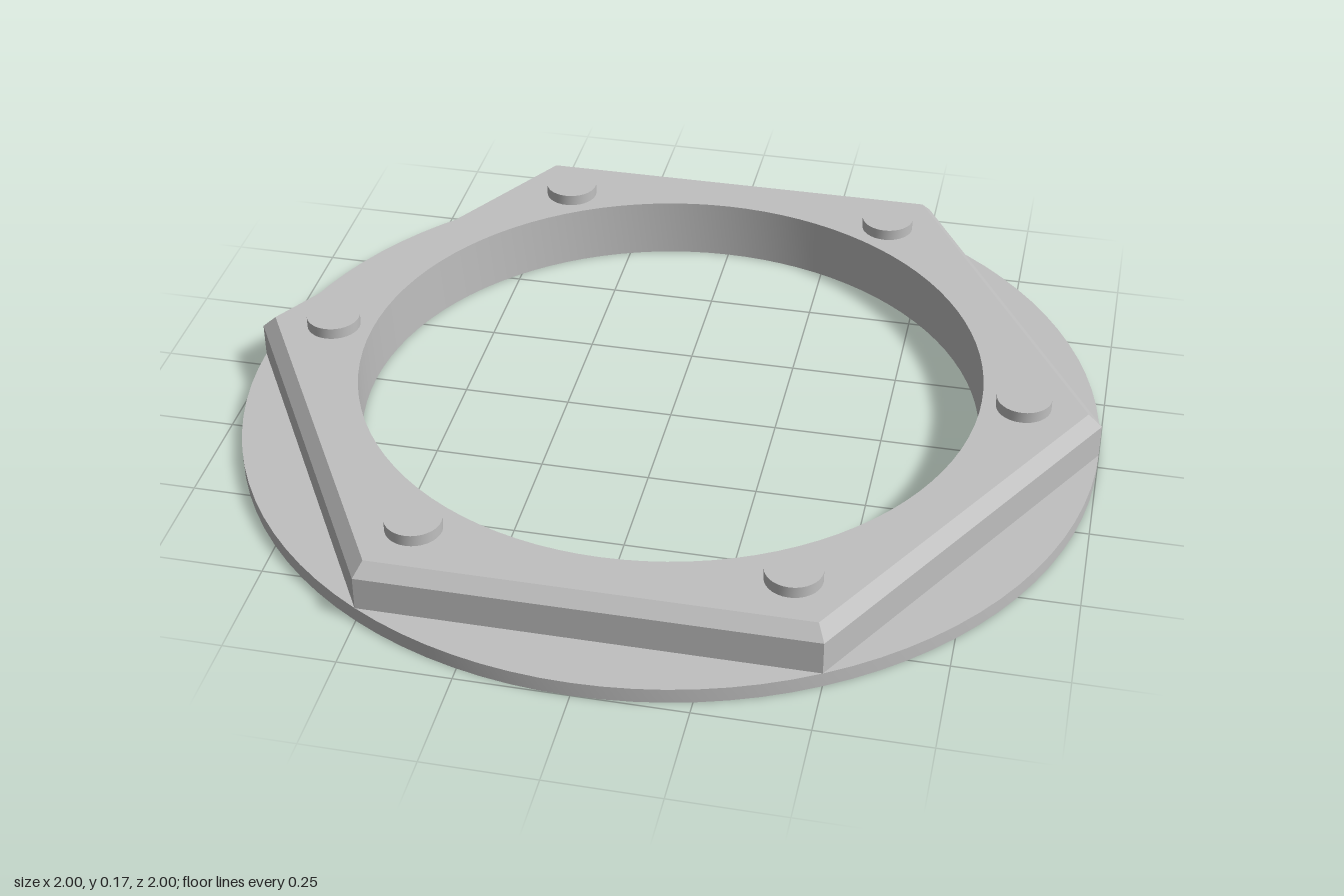
import * as THREE from 'three';
import { toCreasedNormals } from 'three/addons/utils/BufferGeometryUtils.js';

const BORE = 0.725, FLANGE_TOP = 0.035, SHOULDER = 0.115, TOP = 0.145;
const HEX = 1, HEX_TOP = 0.967;

export function createModel() {
  const group = new THREE.Group();
  const metal = new THREE.MeshStandardMaterial({ color: 0xc0c0c0 });
  metal.name = 'grey metal';

  const add = (name, geometry) => {
    const mesh = new THREE.Mesh(toCreasedNormals(geometry, 0.5), metal);
    mesh.name = name;
    group.add(mesh);
    return mesh;
  };

  // Open six-sided band with corners on the x axis
  const hexBand = (name, rTop, rBottom, y0, y1) => {
    const band = new THREE.CylinderGeometry(rTop, rBottom, y1 - y0, 6, 1, true);
    band.rotateY(Math.PI / 6).translate(0, (y0 + y1) / 2, 0);
    add(name, band);
  };

  // Round flange and the bore running through the whole ring
  const profile = [[BORE, TOP], [BORE, 0], [1, 0], [1, FLANGE_TOP], [BORE, FLANGE_TOP]];
  add('flangeAndBore', new THREE.LatheGeometry(profile.map(([r, y]) => new THREE.Vector2(r, y)), 96));

  // Hexagonal body with a chamfered upper edge
  hexBand('hexSides', HEX, HEX, FLANGE_TOP, SHOULDER);
  hexBand('hexChamfer', HEX_TOP, HEX, SHOULDER, TOP);

  // Flat hexagonal top with a round opening
  const corners = Array.from({ length: 6 }, (_, i) => {
    const a = i * Math.PI / 3;
    return new THREE.Vector2(HEX_TOP * Math.cos(a), HEX_TOP * Math.sin(a));
  });
  const face = new THREE.Shape(corners);
  face.holes.push(new THREE.Path().absarc(0, 0, BORE, 0, Math.PI * 2, true));
  add('hexTop', new THREE.ShapeGeometry(face, 48).rotateX(-Math.PI / 2).translate(0, TOP, 0));

  // One round stud near each corner
  for (let i = 0; i < 6; i++) {
    const a = i * Math.PI / 3;
    const stud = add('stud' + (i + 1), new THREE.CylinderGeometry(0.063, 0.063, 0.035, 32));
    stud.position.set(0.82 * Math.cos(a), 0.1545, 0.82 * Math.sin(a));
  }
  return group;
}
